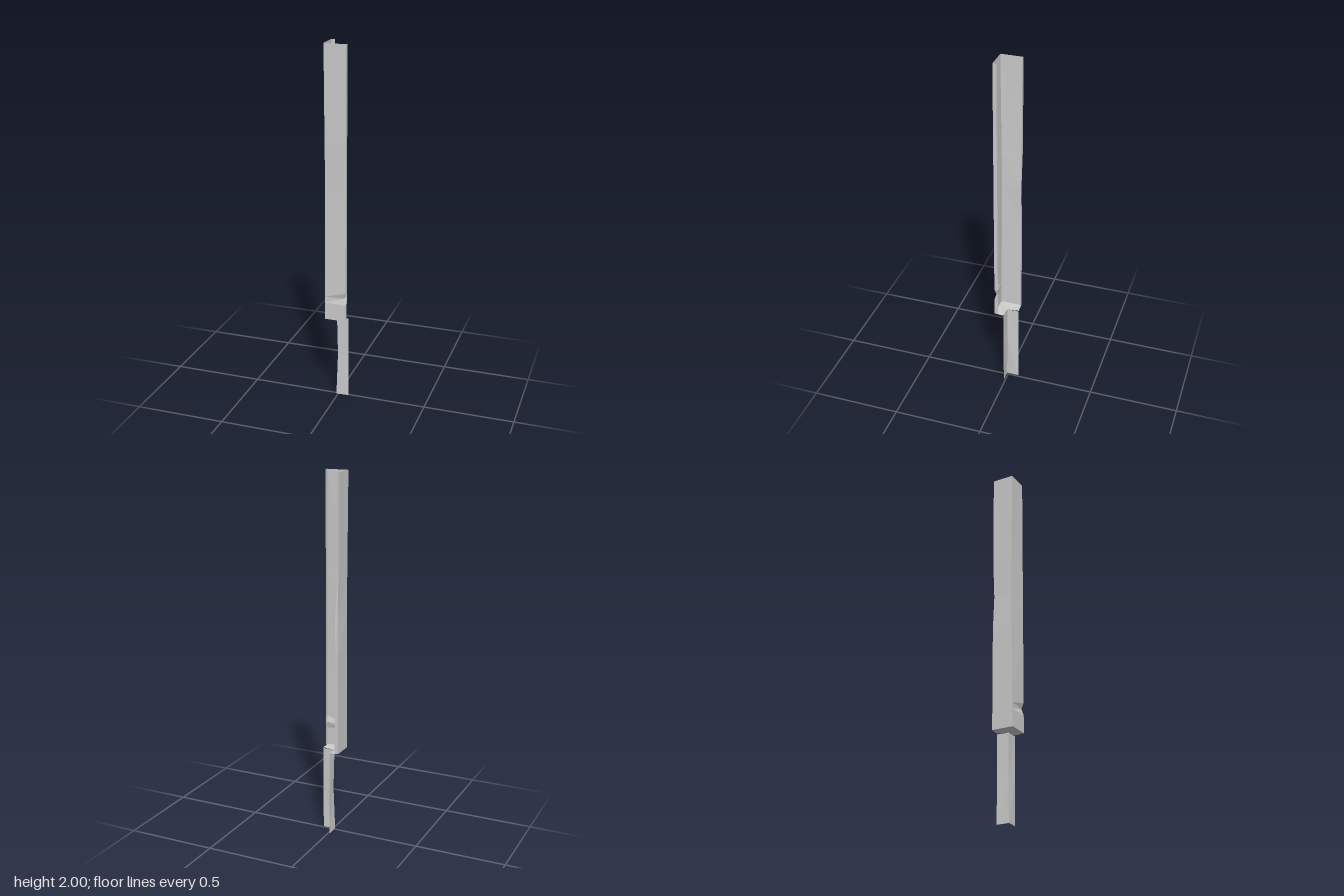
import * as THREE from 'three';

const material = new THREE.MeshStandardMaterial({
  color: 0xcccccc, flatShading: true, side: THREE.DoubleSide,
});

// Thin sheet stretched between rows of [x, y, z] points
function sheet(name, rows) {
  const n = rows[0].length;
  const index = [];
  for (let r = 0; r < rows.length - 1; r++) {
    for (let i = 0; i < n - 1; i++) {
      const a = r * n + i, b = a + 1, c = a + n, d = c + 1;
      index.push(a, b, d, a, d, c);
    }
  }
  const geometry = new THREE.BufferGeometry();
  geometry.setAttribute('position', new THREE.Float32BufferAttribute(rows.flat(2), 3));
  geometry.setIndex(index);
  geometry.computeVertexNormals();
  const mesh = new THREE.Mesh(geometry, material);
  mesh.name = name;
  return mesh;
}

// 1 at the centre of a dent, falling to 0 at its ends
function dent(y, low, centre, high) {
  const t = y < centre ? (y - low) / (centre - low) : (high - y) / (high - centre);
  return Math.max(0, t);
}

export function createModel() {
  const group = new THREE.Group();
  group.name = 'cornerTrim';
  const W = 0.06, base = 0.483, top = 2, lip = 0.02;

  // Tall angle with a narrow lip on each free edge and slight dents
  const levels = [base, 0.58, 0.615, 0.65, 1.05, 1.25, 1.47, top];
  group.add(sheet('upperAngle', levels.map((y) => {
    const bend = dent(y, base, 1.25, top);
    const back = 0.005 * dent(y, 1.05, 1.25, 1.47);
    const front = 0.009 * dent(y, 0.58, 0.615, 0.65);
    return [
      [-W + lip, y, -W],
      [-W + back, y, -W + back],
      [-W + 0.002 * bend, y, W - 0.008 * bend],
      [W - front, y, W - front],
      [W, y, W - lip],
    ];
  })));

  // Narrow angle below, its corner bowed inwards at mid height
  group.add(sheet('lowerAngle', [0, 0.25, 0.475].map((y, i) => {
    const corner = [0.01, 0.003, 0.007][i];
    return [[-0.009, y, -W], [-corner, y, corner], [W, y, 0.007]];
  })));

  // Ledge joining the two angles
  group.add(sheet('ledge', [
    [[-W, base, -W], [-W, base, W], [W, base, W]],
    [[-0.009, 0.479, -W], [-0.007, 0.475, 0.007], [W, 0.479, 0.007]],
  ]));

  return group;
}
